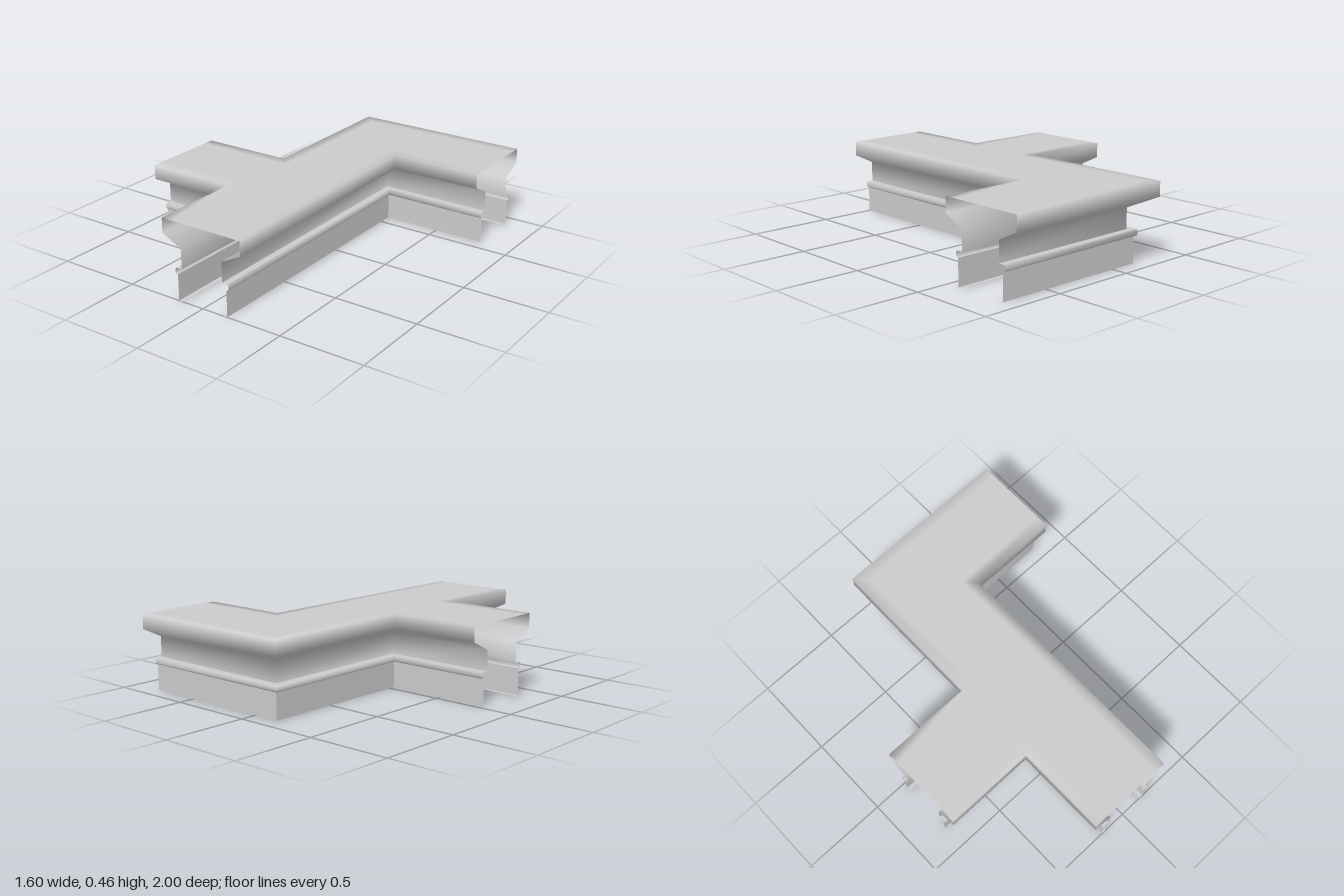
import * as THREE from 'three';

// Hollow wall coping: one moulding profile swept along three mitred wall lines.
const BACK = -0.743, SIDE = 0.195, TOP = 0.457, RIM = 0.19;

// Each stop: centre-line x, z and the direction in which the profile is offset.
const walls = {
  leftWall: [[0, 1, 1, 0], [0, BACK, 1, 1], [0.8, BACK, 0, 1]],
  backWall: [[0.8, BACK, 0, -1], [0, BACK, -1, -1], [0, SIDE, -1, -1], [-0.8, SIDE, 0, -1]],
  rightWall: [[-0.8, SIDE, 0, 1], [0, SIDE, -1, 1], [0, 1, -1, 0]],
};

// Profile pieces as [distance from centre line, height], bottom to top.
const pieces = [
  { name: 'Base', flat: true, profile: [[0.14, 0], [0.163, 0], [0.163, 0.155]] },
  { name: 'Bead', profile: [[0.163, 0.155], [0.172, 0.155], [0.178, 0.164], [0.178, 0.182], [0.173, 0.191]] },
  { name: 'Ledge', flat: true, profile: [[0.173, 0.191], [0.135, 0.191]] },
  { name: 'Cornice', profile: [[0.135, 0.191], [0.135, 0.31], [0.257, 0.37], [0.257, TOP], [RIM, TOP]] },
];

function sweep(path, profile, flat) {
  const position = [], index = [], n = profile.length;
  for (const [x, z, sx, sz] of path) {
    for (const [w, y] of profile) position.push(x + sx * w, y, z + sz * w);
  }
  for (let i = 0; i < path.length - 1; i++) {
    for (let j = 0; j < n - 1; j++) {
      const a = i * n + j, b = a + n;
      index.push(a, b, b + 1, a, b + 1, a + 1);
    }
  }
  let geometry = new THREE.BufferGeometry();
  geometry.setAttribute('position', new THREE.Float32BufferAttribute(position, 3));
  geometry.setIndex(index);
  if (flat) geometry = geometry.toNonIndexed();
  geometry.computeVertexNormals();
  return geometry;
}

export function createModel() {
  const group = new THREE.Group();
  group.name = 'wallCoping';
  const material = new THREE.MeshStandardMaterial({ color: 0xcccccc, side: THREE.DoubleSide });

  const add = (name, geometry) => {
    const mesh = new THREE.Mesh(geometry, material);
    mesh.name = name;
    group.add(mesh);
    return mesh;
  };

  for (const [wall, path] of Object.entries(walls)) {
    for (const { name, profile, flat } of pieces) add(wall + name, sweep(path, profile, flat));
  }

  // Flat top closing the space between the cornice rims
  const outline = Object.values(walls).flat()
    .map(([x, z, sx, sz]) => new THREE.Vector2(x + sx * RIM, -(z + sz * RIM)));
  const top = new THREE.ShapeGeometry(new THREE.Shape(outline));
  top.rotateX(-Math.PI / 2).translate(0, TOP, 0);
  add('topSurface', top);

  return group;
}
